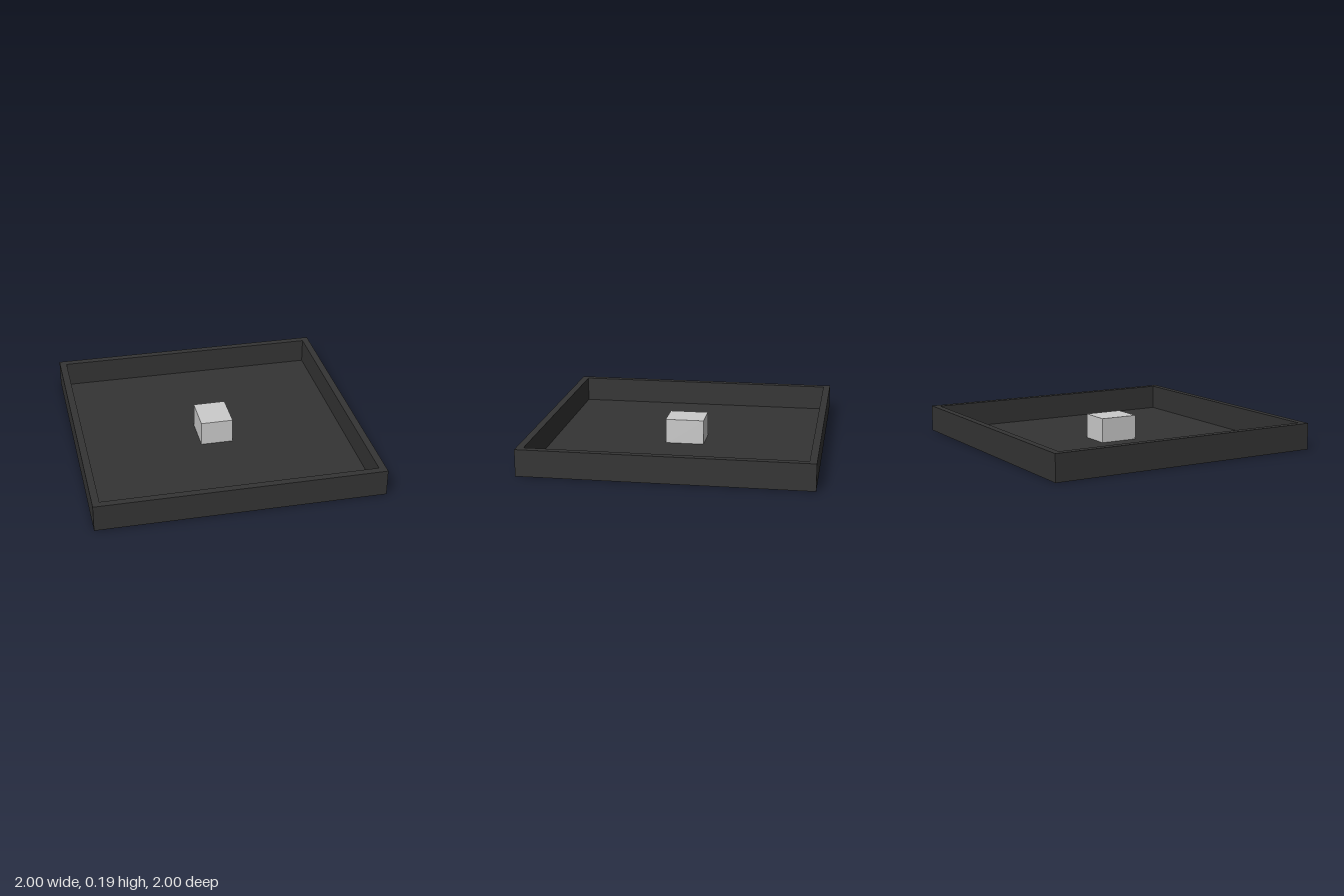
import * as THREE from 'three';

export function createModel() {
  const group = new THREE.Group();
  const charcoal = new THREE.MeshStandardMaterial({ color: 0x343434 });
  charcoal.name = 'charcoal';
  const paleGrey = new THREE.MeshStandardMaterial({ color: 0xcccccc });
  paleGrey.name = 'paleGrey';

  const height = 0.187, outer = 1, inner = 0.95;

  const add = (name, geometry, material, x = 0, y = 0, z = 0) => {
    const mesh = new THREE.Mesh(geometry, material);
    mesh.name = name;
    mesh.position.set(x, y, z);
    group.add(mesh);
    return mesh;
  };

  // Square rim: one extruded frame with an open middle
  const square = (r) => [[-r, -r], [r, -r], [r, r], [-r, r]].map(([x, y]) => new THREE.Vector2(x, y));
  const frame = new THREE.Shape(square(outer));
  frame.holes.push(new THREE.Path(square(inner)));
  const rim = new THREE.ExtrudeGeometry(frame, { depth: height, bevelEnabled: false });
  rim.rotateX(-Math.PI / 2);
  add('rim', rim, charcoal);

  // Thin tray floor
  add('floor', new THREE.BoxGeometry(inner * 2, 0.006, inner * 2), charcoal, 0, 0.005, 0);

  // Block standing through the floor, slightly off centre
  const blockHeight = 0.183;
  add('centreBlock', new THREE.BoxGeometry(0.23, blockHeight, 0.275), paleGrey, 0.01, blockHeight / 2, -0.008);

  return group;
}
